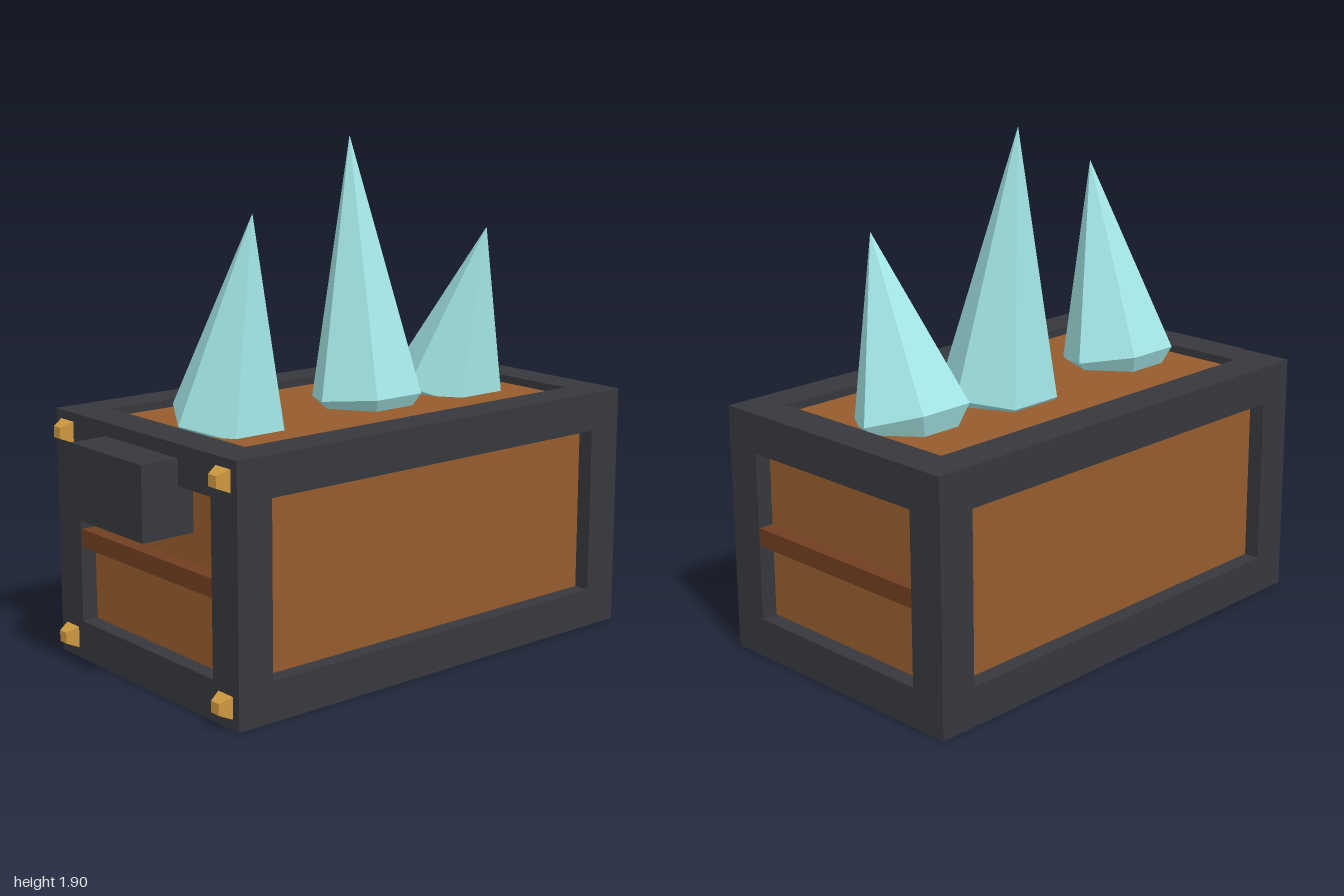
import * as THREE from 'three';

const W = 1.087, H = 0.928, D = 1.85, ZC = -0.075; // crate size and z centre
const TX = 0.1435, TY = 0.147, TZ = 0.145;         // frame bar widths per axis
const RECESS = 0.062, LID_RECESS = 0.03;           // panel insets: walls, top and bottom

const paint = (color) => new THREE.MeshStandardMaterial({ color, flatShading: true });

export function createModel() {
  const root = new THREE.Group();
  const iron = paint(0x36383d), wood = paint(0x965c2d), darkWood = paint(0x703e20);
  const brass = paint(0xcc983f), ice = paint(0xa4e6e6);

  const add = (parent, name, geometry, material, x, y, z) => {
    const mesh = new THREE.Mesh(geometry, material);
    mesh.name = name;
    mesh.position.set(x, y, z);
    parent.add(mesh);
    return mesh;
  };
  const box = (parent, name, material, w, h, d, x, y, z) =>
    add(parent, name, new THREE.BoxGeometry(w, h, d), material, x, y, z);

  // Wooden body, inset behind the frame on all six sides
  box(root, 'woodPanels', wood, W - 2 * RECESS, H - 2 * LID_RECESS, D - 2 * RECESS, 0, H / 2, ZC);

  // Frame: four posts, plus long and cross beams at top and bottom
  const frame = new THREE.Group();
  frame.name = 'frame';
  root.add(frame);
  const px = (W - TX) / 2, pz = (D - TZ) / 2;
  for (const a of [-1, 1]) {
    for (const b of [-1, 1]) {
      const y = H / 2 + b * (H - TY) / 2;
      box(frame, 'cornerPost', iron, TX, H, TZ, a * px, H / 2, ZC + b * pz);
      box(frame, 'longBeam', iron, TX, TY, D - 2 * TZ, a * px, y, ZC);
      box(frame, 'crossBeam', iron, W - 2 * TX, TY, TZ, 0, y, ZC + a * pz);
    }
  }

  // Dark slat across the front and back panels
  for (const s of [-1, 1]) {
    box(root, 'slat', darkWood, W - 2 * TX, 0.068, 0.06, 0, 0.464, ZC + s * (D / 2 - 0.035));
  }

  // Lock block on the front
  box(root, 'lock', iron, 0.436, 0.27, 0.21, 0, 0.743, 0.895);

  // Tapered square studs at the front corners
  const stud = new THREE.CylinderGeometry(0.021 * Math.SQRT2, 0.04 * Math.SQRT2, 0.045, 4);
  stud.rotateY(Math.PI / 4).rotateX(Math.PI / 2);
  for (const x of [-0.47, 0.47]) {
    for (const y of [0.077, 0.855]) add(root, 'stud', stud, brass, x, y, 0.8725);
  }

  // Leaning six-sided crystals, each tapering to a short root below its widest ring
  const RING_Y = 0.927, RADIUS = 0.219, ROOT = 0.27;
  for (const [z, tipX, tipY] of [[0.472, 0.15, 1.67], [-0.183, -0.1, 1.9], [-0.62, 0.193, 1.55]]) {
    const rise = tipY - RING_Y, length = Math.hypot(tipX, rise);
    const crystal = new THREE.Group();
    crystal.name = 'crystal';
    crystal.position.set(0, RING_Y, z);
    crystal.rotation.z = -Math.atan2(tipX, rise);
    root.add(crystal);
    add(crystal, 'crystalSpike', new THREE.ConeGeometry(RADIUS, length, 6, 1, true), ice, 0, length / 2, 0);
    add(crystal, 'crystalRoot', new THREE.CylinderGeometry(RADIUS, 0, ROOT, 6, 1, true), ice, 0, -ROOT / 2, 0);
  }
  return root;
}
